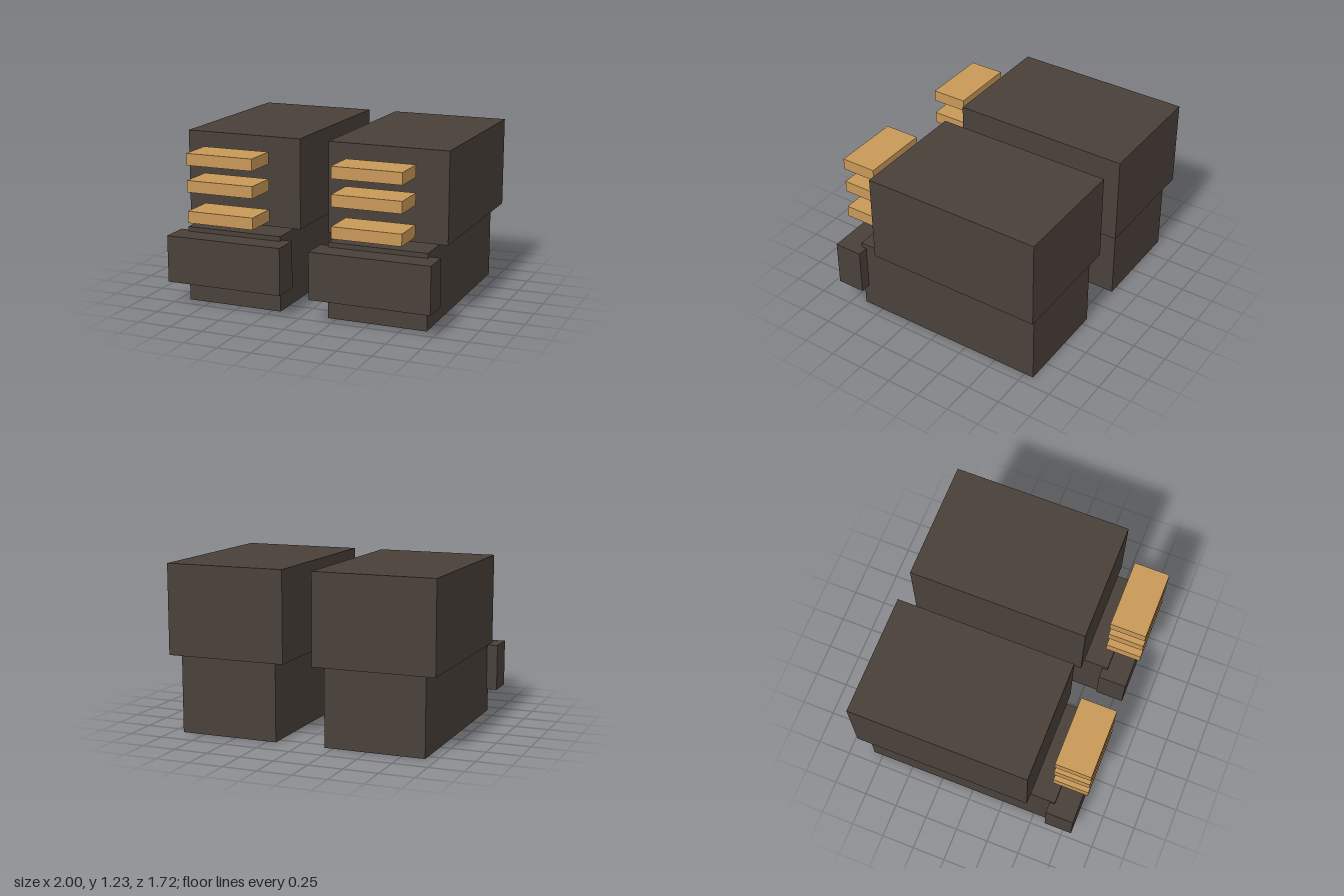
import * as THREE from 'three';

const dark = new THREE.MeshStandardMaterial({ color: 0x4a4039 });
dark.name = 'dark brown';
const tan = new THREE.MeshStandardMaterial({ color: 0xc89858 });
tan.name = 'tan';

// Box given by its extents along each axis
function block(name, material, [x0, x1], [y0, y1], [z0, z1]) {
  const mesh = new THREE.Mesh(new THREE.BoxGeometry(x1 - x0, y1 - y0, z1 - z0), material);
  mesh.position.set((x0 + x1) / 2, (y0 + y1) / 2, (z0 + z1) / 2);
  mesh.name = name;
  return mesh;
}

// One boot; each x range is mirrored for the right side
function createBoot(side) {
  const boot = new THREE.Group();
  boot.name = side > 0 ? 'leftBoot' : 'rightBoot';
  const span = (a, b) => (side > 0 ? [a, b] : [-b, -a]);

  boot.add(
    block('upperShaft', dark, span(0.11, 1), [0.57, 1.23], [-0.86, 0.47]),
    block('ankle', dark, span(0.185, 0.92), [0, 0.57], [-0.82, 0.285]),
    block('foot', dark, span(0.185, 0.92), [0, 0.555], [0.285, 0.655]),
    block('toeCap', dark, span(0.11, 1), [0.175, 0.52], [0.615, 0.825])
  );

  // Stacked slats floating in front of the shaft
  [0.685, 0.908, 1.102].forEach((y, i) => {
    boot.add(block('slat' + (i + 1), tan, span(0.295, 0.805), [y - 0.043, y + 0.043], [0.595, 0.86]));
  });
  return boot;
}

export function createModel() {
  const model = new THREE.Group();
  model.name = 'boots';
  model.add(createBoot(1), createBoot(-1));
  return model;
}
